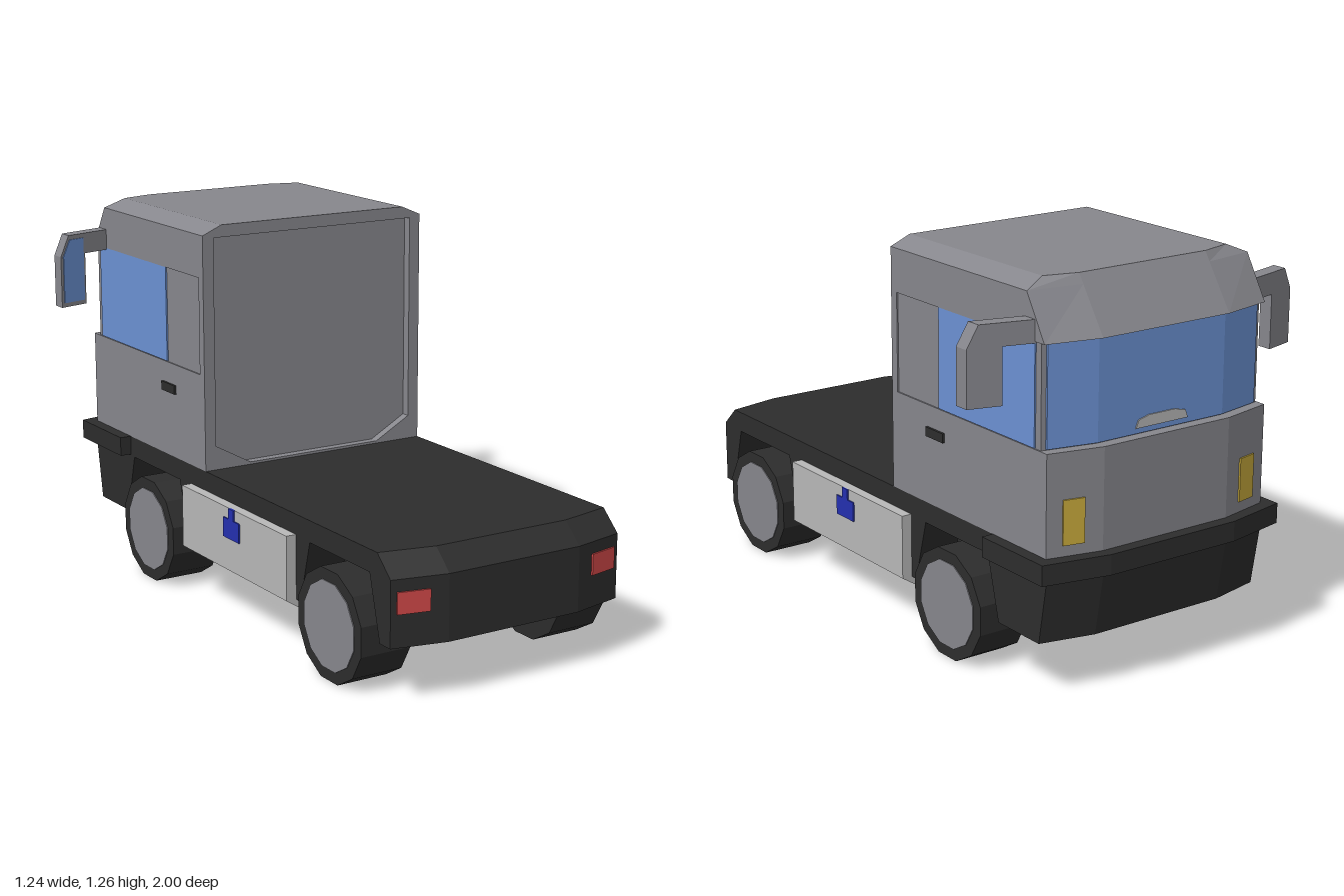
import * as THREE from 'three';

const paint = (name, color) => {
  const m = new THREE.MeshStandardMaterial({ color });
  m.name = name;
  return m;
};

export function createModel() {
  const truck = new THREE.Group();
  truck.name = 'truck';
  const grey = paint('cabGrey', 0x87878d);
  const black = paint('chassisBlack', 0x2d2d2d);
  const light = paint('tankGrey', 0xb9b9b9);
  const glass = paint('glassBlue', 0x6c92d4);
  const blue = paint('capBlue', 0x2430b0);
  const red = paint('lampRed', 0xd04848);
  const yellow = paint('lampYellow', 0xc8aa3c);

  const add = (name, geo, mat) => {
    const mesh = new THREE.Mesh(geo, mat);
    mesh.name = name;
    truck.add(mesh);
    return mesh;
  };
  const box = (name, mat, w, h, d, x, y, z) => {
    const mesh = add(name, new THREE.BoxGeometry(w, h, d), mat);
    mesh.position.set(x, y, z);
    return mesh;
  };
  const shapeOf = (pts) => new THREE.Shape(pts.map(([x, y]) => new THREE.Vector2(x, y)));
  const extrude = (shape, depth) =>
    new THREE.ExtrudeGeometry(shape, { depth, bevelEnabled: false });
  // outline in x, z raised from y0 to y1
  const plan = (pts, y0, y1) =>
    extrude(shapeOf(pts), y1 - y0).rotateX(Math.PI / 2).translate(0, y1, 0);
  // outline in z, y spread from x0 to x1
  const profile = (pts, x0, x1) =>
    extrude(shapeOf(pts), x1 - x0).rotateY(-Math.PI / 2).translate(x1, 0, 0);
  const move = (geo, rule) => {
    const p = geo.attributes.position;
    const v = new THREE.Vector3();
    for (let i = 0; i < p.count; i++) {
      rule(v.fromBufferAttribute(p, i));
      p.setXYZ(i, v.x, v.y, v.z);
    }
    geo.computeVertexNormals();
    return geo;
  };
  const mirrored = (pts) => [...pts, ...pts.map(([x, z]) => [-x, z]).reverse()];

  // chassis ends: corners swept back, nose leaning, rear top edge bevelled
  const shapeEnds = (v) => {
    const sweep = Math.max(0, Math.abs(v.x) - 0.24) * 0.222;
    if (v.z > 0.95) v.z = 1 - sweep - (v.y > 0.45 ? 0.07 : 0);
    else if (v.z < -0.95) v.z = -0.93 - (Math.min(v.y, 0.39) - 0.18) * 0.17 + sweep;
  };
  const outline = (w) => mirrored([[0.24, 1], [w, 1], [w, -1], [0.24, -1]]);
  add('deck', move(plan(outline(0.42), 0.39, 0.455), shapeEnds), black);
  add('chassisCore', move(plan(outline(0.28), 0.18, 0.39), shapeEnds), black);

  // side skirts with wheel arches
  const wheelZ = [0.685, -0.47];
  const skirt = [[1, 0.39], [1, 0.18]];
  for (const c of wheelZ)
    skirt.push([c + 0.22, 0.18], [c + 0.165, 0.385], [c - 0.165, 0.385], [c - 0.22, 0.18]);
  skirt.push([-1, 0.18], [-1, 0.39]);
  for (const [x0, x1] of [[0.28, 0.42], [-0.42, -0.28]])
    add('skirt', move(profile(skirt, x0, x1), shapeEnds), black);

  // wraparound front bumper
  add('bumper', plan(mirrored([[0.46, -0.66], [0.46, -0.955], [0.24, -1]]), 0.39, 0.455), black);

  // six-sided cab sections: [y, half width, corner z, nose z]
  const back = -0.155;
  const loft = (levels) => {
    const rings = levels.map(([y, w, side, nose]) =>
      mirrored([[w, back], [w, side], [0.24, nose]]).map(([x, z]) => [x, y, z]));
    const out = [];
    const tri = (...pts) => pts.forEach((p) => out.push(...p));
    for (let k = 0; k + 1 < rings.length; k++)
      for (let i = 0; i < 6; i++) {
        const j = (i + 1) % 6;
        const a = rings[k], b = rings[k + 1];
        tri(a[i], a[j], b[j], a[i], b[j], b[i]);
      }
    const bottom = rings[0], top = rings[rings.length - 1];
    for (let i = 1; i < 5; i++) {
      tri(top[0], top[i], top[i + 1]);
      tri(bottom[0], bottom[i + 1], bottom[i]);
    }
    const g = new THREE.BufferGeometry();
    g.setAttribute('position', new THREE.Float32BufferAttribute(out, 3));
    g.computeVertexNormals();
    return g;
  };
  add('cabLower', loft([[0.455, 0.42, -0.92, -0.96], [0.775, 0.42, -0.92, -0.96]]), grey);
  add('cabUpper', loft([[0.775, 0.415, -0.885, -0.922], [1.095, 0.415, -0.885, -0.922]]), grey);
  add('roofAndVisor', loft([
    [1.095, 0.42, -0.905, -0.945],
    [1.235, 0.42, -0.82, -0.85],
    [1.265, 0.35, -0.8, -0.83],
  ]), grey);

  // raised frame around the rear wall
  const frame = shapeOf(mirrored([[0.42, 0.455], [0.42, 1.235], [0.35, 1.265]]));
  frame.holes.push(shapeOf(mirrored([[0.25, 0.463], [0.38, 0.535], [0.38, 1.225]])));
  add('rearFrame', extrude(frame, 0.03).translate(0, 0, back), grey);

  // windscreen wraps over the three front facets
  const screen = [[0.4, -0.8885], [0.24, -0.922], [-0.24, -0.922], [-0.4, -0.8885]];
  const band = [...screen, ...screen.map(([x, z]) => [x, z - 0.006]).reverse()];
  add('windscreen', plan(band, 0.778, 1.095), glass);
  const rest = [[-0.1, 0.795], [0.1, 0.795], [0.09, 0.82], [0.05, 0.83], [-0.05, 0.83], [-0.09, 0.82]];
  add('wiperCover', extrude(shapeOf(rest), 0.004).translate(0, 0, -0.932), light);

  // thin plate lying on a swept corner facet
  const facetLamp = (name, mat, s, x, y, z, w, h, dir) => {
    box(name, mat, w, h, 0.009, s * x, y, z).rotation.y = s * dir * Math.atan(0.222);
  };

  for (const s of [1, -1]) {
    box('sideWindow', glass, 0.009, 0.318, 0.48, s * 0.4155, 0.936, -0.62);
    box('doorHandle', black, 0.012, 0.03, 0.09, s * 0.422, 0.69, -0.365);
    facetLamp('tailLamp', red, s, 0.35, 0.318, 0.977, 0.105, 0.068, 1);
    facetLamp('headLamp', yellow, s, 0.335, 0.56, -0.94, 0.07, 0.14, -1);

    // side tank with sloping lower edge, and its filler cap
    const tank = [[0.25, 0.39], [0.455, 0.39], [0.455, 0.18], [0.4, 0.145], [0.25, 0.145]];
    add('sideTank', extrude(shapeOf(tank.map(([x, y]) => [s * x, y])), 0.665)
      .translate(0, 0, -0.225), light);
    box('fillerCap', blue, 0.009, 0.065, 0.1, s * 0.4555, 0.322, 0.105);
    box('fillerNeck', blue, 0.009, 0.036, 0.032, s * 0.4555, 0.372, 0.105);

    // wheels
    for (const z of wheelZ) {
      const disc = (name, mat, r, w, x) => {
        const g = new THREE.CylinderGeometry(r, r, w, 12).rotateY(Math.PI / 12)
          .rotateZ(Math.PI / 2).toNonIndexed();
        g.computeVertexNormals();
        add(name, g, mat).position.set(s * x, 0.175, z);
      };
      disc('tyre', black, 0.181, 0.175, 0.3675);
      disc('hub', grey, 0.143, 0.008, 0.454);
    }

    // wing mirrors, angled backwards away from the cab
    const swept = (v) => { v.z += (Math.abs(v.x) - 0.42) * 0.27; };
    const housing = [[0.4, 1.09], [0.515, 1.09], [0.515, 0.915], [0.62, 0.915],
      [0.62, 1.09], [0.585, 1.16], [0.4, 1.16]];
    const pane = [[0.523, 0.93], [0.61, 0.93], [0.61, 1.09], [0.582, 1.145], [0.523, 1.145]];
    const mirrorPart = (name, pts, depth, z, mat) =>
      add(name, move(extrude(shapeOf(pts.map(([x, y]) => [s * x, y])), depth)
        .translate(0, 0, z), swept), mat);
    mirrorPart('mirrorHousing', housing, 0.05, -0.86, grey);
    mirrorPart('mirrorGlass', pane, 0.005, -0.811, glass);
  }
  return truck;
}
